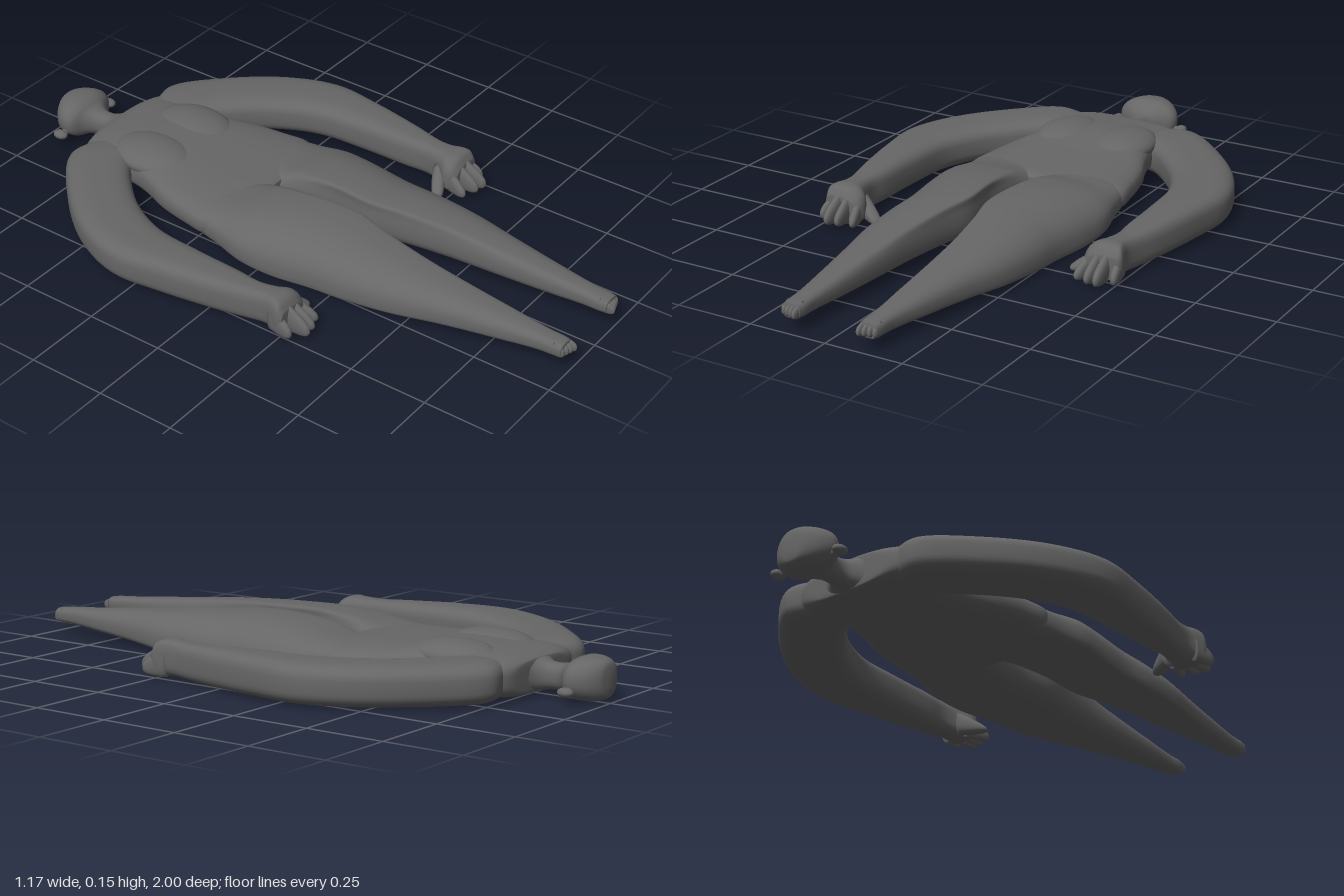
import * as THREE from 'three';

const material = new THREE.MeshStandardMaterial({ color: 0x666666 });
const RING = 40;
const power = (v, p) => Math.sign(v) * Math.abs(v) ** p;

// Each row: left edge x, z, right edge x, z, bottom y, top y, lean (moves the crest, lowers one edge)
function loft(name, rows, square = 3, steps = 6) {
  const left = new THREE.CatmullRomCurve3(rows.map((r) => new THREE.Vector3(r[0], 0, r[1])));
  const right = new THREE.CatmullRomCurve3(rows.map((r) => new THREE.Vector3(r[2], 0, r[3])));
  const tall = new THREE.CatmullRomCurve3(
    rows.map((r) => new THREE.Vector3(r[4], r[5], r[6] || 0)), false, 'catmullrom', 0.5);
  const count = (rows.length - 1) * steps;
  const pos = [], index = [];
  for (let i = 0; i <= count; i++) {
    const t = i / count;
    const L = left.getPoint(t), R = right.getPoint(t), H = tall.getPoint(t);
    for (let j = 0; j < RING; j++) {
      const a = (j / RING) * Math.PI * 2;
      const c = power(Math.cos(a), 2 / square), s = power(Math.sin(a), 2 / square);
      const u = (c - H.z * Math.max(s, 0) * (1 - c * c) + 1) / 2;
      const v = (s - Math.max(H.z * c, 0) * (1 - s * s) + 1) / 2;
      pos.push(L.x + (R.x - L.x) * u, H.x + (H.y - H.x) * v, L.z + (R.z - L.z) * u);
      if (i < count) {
        const k = i * RING + j, n = i * RING + ((j + 1) % RING);
        index.push(k, n, k + RING, n, n + RING, k + RING);
      }
    }
  }
  // Closed ends
  [0, count].forEach((i) => {
    const r = rows[i ? rows.length - 1 : 0];
    const centre = pos.length / 3;
    pos.push((r[0] + r[2]) / 2, (r[4] + r[5]) / 2, (r[1] + r[3]) / 2);
    for (let j = 0; j < RING; j++) {
      const k = i * RING + j, n = i * RING + ((j + 1) % RING);
      if (i) index.push(centre, k, n);
      else index.push(centre, n, k);
    }
  });
  const geo = new THREE.BufferGeometry();
  geo.setAttribute('position', new THREE.Float32BufferAttribute(pos, 3));
  geo.setIndex(index);
  geo.computeVertexNormals();
  const mesh = new THREE.Mesh(geo, material);
  mesh.name = name;
  return mesh;
}

// Symmetric section across x = 0
const even = (z, half, y0, y1) => [-half, z, half, z, y0, y1, 0];
const flip = (rows) => rows.map((r) => [-r[2], r[3], -r[0], r[1], r[4], r[5], -(r[6] || 0)]);

// Tapering finger or toe from a base to a rounded tip
function digit([x0, z0], [x1, z1], r, base, tip) {
  const d = new THREE.Vector2(x1 - x0, z1 - z0).normalize();
  return [[0, 1], [0.45, 1], [0.8, 0.85], [0.95, 0.55], [1, 0.15]].map(([t, w]) => {
    const x = x0 + (x1 - x0) * t, z = z0 + (z1 - z0) * t;
    const mid = THREE.MathUtils.lerp((base[0] + base[1]) / 2, (tip[0] + tip[1]) / 2, t);
    const h = THREE.MathUtils.lerp(base[1] - base[0], tip[1] - tip[0], t) / 2 * w;
    return [x - d.y * r * w, z + d.x * r * w, x + d.y * r * w, z - d.x * r * w, mid - h, mid + h];
  });
}

// Smooth ball squashed to the given radii
function ball(name, radii, place) {
  const mesh = new THREE.Mesh(new THREE.SphereGeometry(1, 32, 20), material);
  mesh.name = name;
  mesh.scale.set(...radii);
  mesh.position.set(...place);
  return mesh;
}

export function createModel() {
  const model = new THREE.Group();
  model.name = 'lyingFigure';

  // Domed head running into the neck
  model.add(loft('headAndNeck', [
    even(-1.0, 0.012, 0.045, 0.09), even(-0.993, 0.048, 0.02, 0.12), even(-0.965, 0.084, 0.008, 0.133),
    even(-0.925, 0.102, 0.007, 0.135), even(-0.9, 0.094, 0.01, 0.126), even(-0.877, 0.058, 0.018, 0.11),
    even(-0.85, 0.036, 0.022, 0.102), even(-0.81, 0.036, 0.021, 0.102), even(-0.785, 0.06, 0.016, 0.108),
    even(-0.765, 0.11, 0.014, 0.114), even(-0.74, 0.13, 0.014, 0.115),
  ], 2.3));

  // Torso
  model.add(loft('torso', [
    even(-0.778, 0.08, 0.02, 0.106), even(-0.77, 0.17, 0.012, 0.115), even(-0.74, 0.215, 0.006, 0.125),
    even(-0.67, 0.21, 0.005, 0.133), even(-0.57, 0.195, 0.005, 0.143), even(-0.49, 0.212, 0.005, 0.14),
    even(-0.4, 0.245, 0.005, 0.131), even(-0.3, 0.265, 0.005, 0.126), even(-0.21, 0.272, 0.005, 0.122),
    even(-0.16, 0.22, 0.007, 0.118), even(-0.135, 0.1, 0.015, 0.108),
  ]));

  const arm = [
    [0.06, -0.61, 0.09, -0.73, 0.02, 0.112],
    [0.14, -0.585, 0.175, -0.76, 0.008, 0.124],
    [0.195, -0.56, 0.25, -0.768, 0.005, 0.128],
    [0.255, -0.505, 0.39, -0.655, 0.005, 0.128],
    [0.335, -0.405, 0.52, -0.49, 0.005, 0.128],
    [0.395, -0.27, 0.582, -0.32, 0.005, 0.128],
    [0.412, -0.1, 0.565, -0.15, 0.005, 0.126],
    [0.418, 0.05, 0.53, 0.04, 0.006, 0.12],
    [0.424, 0.13, 0.508, 0.13, 0.008, 0.116],
    [0.41, 0.185, 0.5, 0.185, 0.01, 0.119, -0.15],
    [0.387, 0.22, 0.507, 0.22, 0.009, 0.121, -0.3],
    [0.388, 0.245, 0.513, 0.245, 0.01, 0.113, -0.35],
    [0.4, 0.262, 0.508, 0.262, 0.018, 0.088, -0.35],
  ];
  const fingers = [
    digit([0.492, 0.21], [0.506, 0.293], 0.014, [0.01, 0.095], [0.008, 0.055]),
    digit([0.464, 0.21], [0.466, 0.33], 0.015, [0.01, 0.118], [0.006, 0.06]),
    digit([0.438, 0.21], [0.432, 0.323], 0.014, [0.01, 0.114], [0.006, 0.055]),
    digit([0.412, 0.21], [0.388, 0.303], 0.014, [0.008, 0.095], [0.005, 0.045]),
    digit([0.42, 0.185], [0.335, 0.234], 0.021, [0.008, 0.085], [0.004, 0.03]),
  ];
  const leg = [
    [0.05, -0.34, 0.24, -0.34, 0.02, 0.1, 0],
    [0.012, -0.23, 0.267, -0.23, 0.006, 0.116, 0.05],
    [0.006, -0.155, 0.281, -0.155, 0.004, 0.126, 0.2],
    [0.02, -0.08, 0.3, -0.06, 0.004, 0.145, 0.45],
    [0.033, 0.05, 0.293, 0.05, 0.004, 0.157, 0.65],
    [0.026, 0.19, 0.273, 0.19, 0.005, 0.156, 0.65],
    [0.046, 0.3, 0.268, 0.3, 0.008, 0.148, 0.6],
    [0.065, 0.45, 0.25, 0.45, 0.013, 0.135, 0.5],
    [0.074, 0.6, 0.217, 0.6, 0.02, 0.12, 0.35],
    [0.085, 0.78, 0.183, 0.78, 0.029, 0.103, 0.2],
    [0.094, 0.9, 0.163, 0.9, 0.036, 0.092, 0.05],
    [0.094, 0.955, 0.16, 0.955, 0.038, 0.088, 0],
    [0.097, 0.978, 0.157, 0.978, 0.041, 0.085, 0],
  ];

  for (const [side, place] of [['left', (r) => r], ['right', flip]]) {
    const sign = side === 'left' ? 1 : -1;

    // Limbs
    model.add(loft(side + 'Arm', place(arm), 3.2));
    model.add(loft(side + 'Leg', place(leg), 2.8));

    // Hand digits
    fingers.forEach((f, i) => model.add(loft(side + (i < 4 ? 'Finger' + (i + 1) : 'Thumb'), place(f), 2.3, 4)));

    // Toes, the inner one longest
    for (let i = 0; i < 4; i++) {
      const x = 0.106 + i * 0.0145;
      const toe = digit([x, 0.95], [x, 1 - i * 0.005], 0.0085, [0.042, 0.086], [0.044, 0.076]);
      model.add(loft(side + 'Toe' + (i + 1), place(toe), 2.3, 4));
    }

    // Soft chest mound
    model.add(ball(side + 'Chest', [0.1, 0.045, 0.14], [sign * 0.1, 0.109, -0.545]));

    // Ear: a stalk with a round knob
    const stalk = new THREE.Mesh(new THREE.CylinderGeometry(0.01, 0.013, 0.05, 16), material);
    stalk.name = side + 'EarStalk';
    stalk.rotation.z = -sign * Math.PI / 2;
    stalk.position.set(sign * 0.095, 0.046, -0.922);
    model.add(stalk, ball(side + 'Ear', [0.019, 0.014, 0.025], [sign * 0.119, 0.046, -0.924]));
  }
  return model;
}
